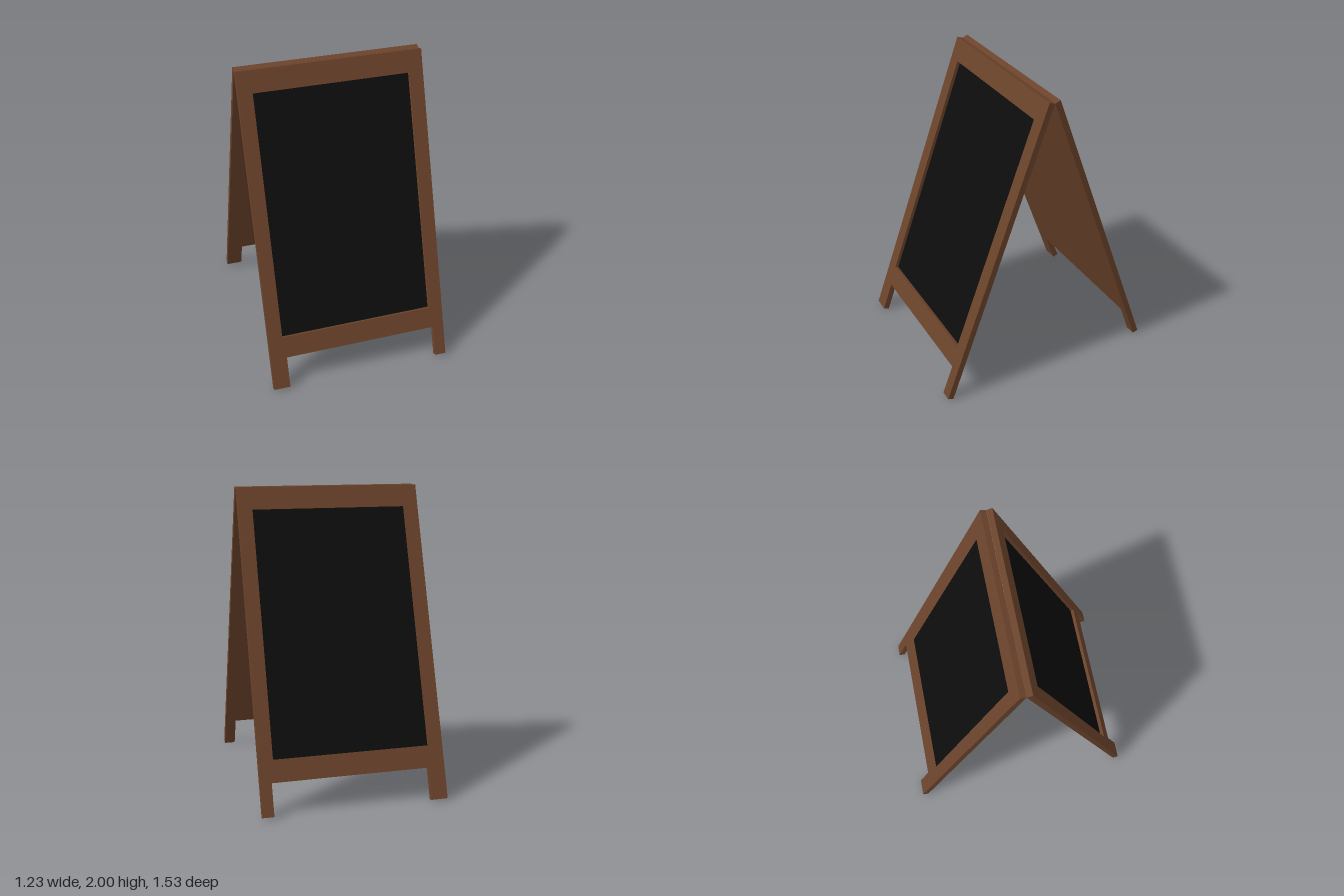
import * as THREE from 'three';

const TILT = THREE.MathUtils.degToRad(20.05);
const THICK = 0.04, RECESS = 0.025, HALF_W = 0.615;
const LENGTH = (2 - THICK * Math.sin(TILT)) / Math.cos(TILT);
const RAIL = 1.906; // distance from the top down to the underside of the bottom rail
const OPEN = { x: 0.52, top: 0.145, bottom: 1.762 };

const wood = new THREE.MeshStandardMaterial({ color: 0x6b432b });
const slate = new THREE.MeshStandardMaterial({ color: 0x0d0d0d });

// Panel silhouette with two feet of unequal width; side = -1 mirrors it
function outline(side) {
  return new THREE.Shape([
    [-HALF_W, 0], [-HALF_W, -LENGTH], [-0.505, -LENGTH], [-0.505, -RAIL],
    [0.54, -RAIL], [0.54, -LENGTH], [HALF_W, -LENGTH], [HALF_W, 0],
  ].map(([x, y]) => new THREE.Vector2(x * side, y)));
}

function slab(name, shape, depth, z) {
  const geometry = new THREE.ExtrudeGeometry(shape, { depth, bevelEnabled: false });
  const mesh = new THREE.Mesh(geometry, wood);
  mesh.name = name;
  mesh.position.z = z;
  return mesh;
}

// One leaf of the sign: outer face at z = 0, top edge at y = 0
function makeLeaf(name, side) {
  const leaf = new THREE.Group();
  leaf.name = name;

  // Raised frame around the writing surface
  const frameShape = outline(side);
  frameShape.holes.push(new THREE.Path([
    new THREE.Vector2(-OPEN.x, -OPEN.top), new THREE.Vector2(OPEN.x, -OPEN.top),
    new THREE.Vector2(OPEN.x, -OPEN.bottom), new THREE.Vector2(-OPEN.x, -OPEN.bottom),
  ]));
  leaf.add(slab('frame', frameShape, RECESS, -RECESS));

  // Plain backing, seen from the inside
  leaf.add(slab('backing', outline(side), THICK - RECESS, -THICK));

  // Recessed chalkboard
  const board = new THREE.Mesh(
    new THREE.BoxGeometry(2 * OPEN.x, OPEN.bottom - OPEN.top, 0.004), slate);
  board.name = 'chalkboard';
  board.position.set(0, -(OPEN.top + OPEN.bottom) / 2, -RECESS);
  leaf.add(board);

  leaf.position.set(0, 2, 0.038);
  leaf.rotation.x = -TILT;
  return leaf;
}

export function createModel() {
  const model = new THREE.Group();
  model.name = 'sandwichBoard';
  model.add(makeLeaf('frontLeaf', 1));

  // Back leaf, turned round with its feet mirrored to line up with the front
  const back = new THREE.Group();
  back.name = 'backHalf';
  back.add(makeLeaf('backLeaf', -1));
  back.rotation.y = Math.PI;
  model.add(back);
  return model;
}
